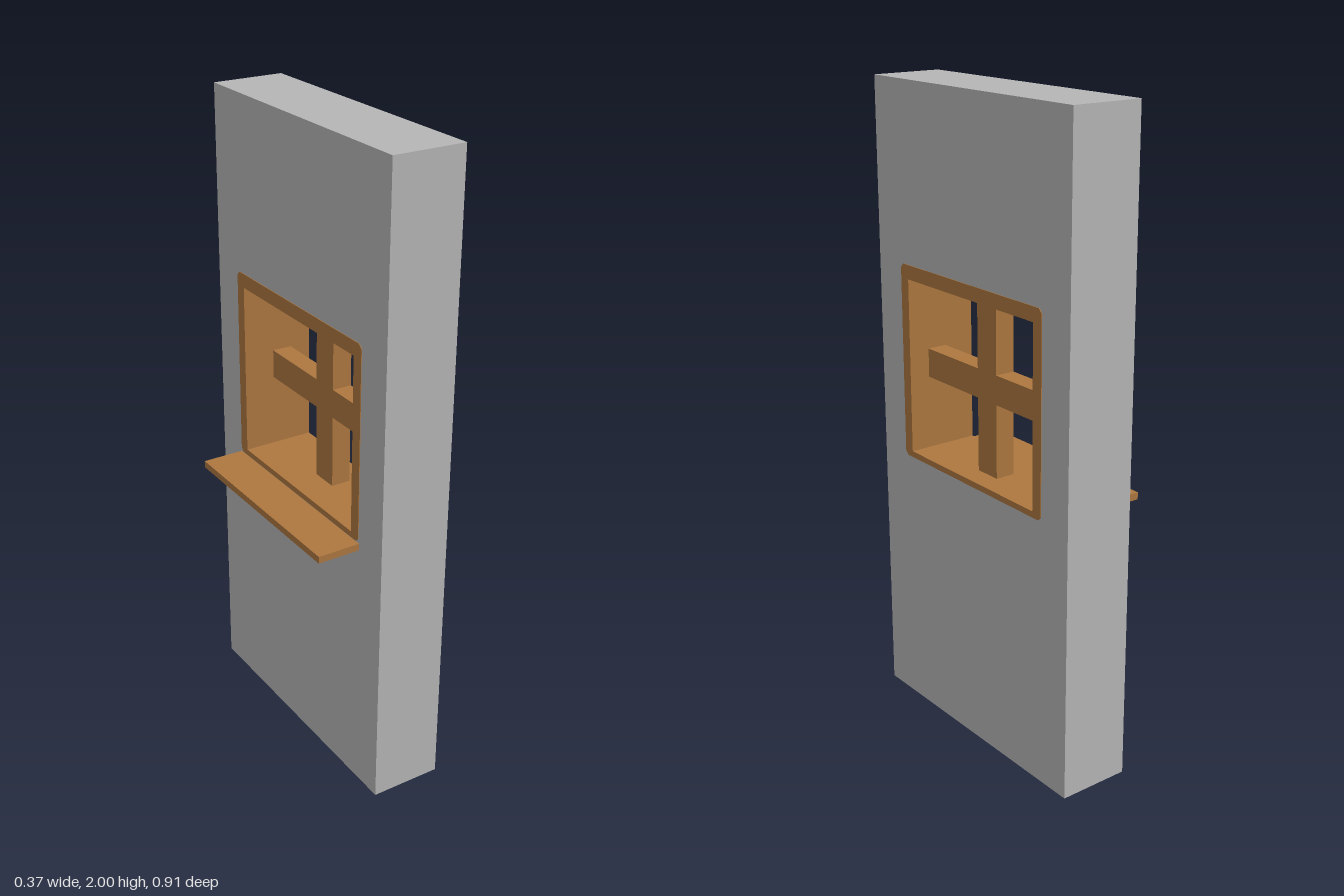
import * as THREE from 'three';

const wallGrey = new THREE.MeshStandardMaterial({ name: 'wallGrey', color: 0xb6b6b6 });
const woodBrown = new THREE.MeshStandardMaterial({ name: 'woodBrown', color: 0xae7840 });

// Rectangle outline with optional chamfered corners, c = corner size
function outline(Target, w, y0, y1, c = 0) {
  const p = c
    ? [[-w + c, y0], [w - c, y0], [w, y0 + c], [w, y1 - c], [w - c, y1], [-w + c, y1], [-w, y1 - c], [-w, y0 + c]]
    : [[-w, y0], [w, y0], [w, y1], [-w, y1]];
  return new Target(p.map(([x, y]) => new THREE.Vector2(x, y)));
}

// Slab with an opening, extruded along x from x0 to x1
function slab(name, material, shape, hole, x0, x1) {
  shape.holes.push(hole);
  const geometry = new THREE.ExtrudeGeometry(shape, { depth: x1 - x0, bevelEnabled: false });
  geometry.rotateY(Math.PI / 2).translate(x0, 0, 0);
  const mesh = new THREE.Mesh(geometry, material);
  mesh.name = name;
  return mesh;
}

// Box given by its limits on each axis
function box(name, material, [x0, x1], [y0, y1], [z0, z1]) {
  const mesh = new THREE.Mesh(new THREE.BoxGeometry(x1 - x0, y1 - y0, z1 - z0), material);
  mesh.position.set((x0 + x1) / 2, (y0 + y1) / 2, (z0 + z1) / 2);
  mesh.name = name;
  return mesh;
}

export function createModel() {
  const group = new THREE.Group();
  group.name = 'windowWall';
  const back = -0.046, front = 0.181, lip = 0.002;
  const frame = [0.337, 0.845, 1.458, 0.012];

  // Wall panel with the window opening
  group.add(slab('wall', wallGrey, outline(THREE.Shape, 0.454, 0, 2),
    outline(THREE.Path, ...frame), back, front));

  // Wooden lining, standing slightly proud on both faces
  group.add(slab('windowFrame', woodBrown, outline(THREE.Shape, ...frame),
    outline(THREE.Path, 0.3, 0.864, 1.414), back - lip, front + lip));

  // Crossed glazing bars
  const barX = [0.052, 0.115];
  group.add(box('verticalBar', woodBrown, barX, [0.864, 1.414], [-0.045, 0.045]));
  for (const s of [-1, 1]) {
    const z = [0.045 * s, 0.3 * s].sort((a, b) => a - b);
    group.add(box('horizontalBar', woodBrown, barX, [1.095, 1.186], z));
  }

  // Sill shelf on one side
  group.add(box('windowSill', woodBrown, [-0.182, back], [0.82, 0.842], [-0.34, 0.34]));

  // Small plug in the underside
  const plug = new THREE.Mesh(new THREE.CylinderGeometry(0.028, 0.028, 0.004, 8), woodBrown);
  plug.position.set(0.08, 0.001, 0);
  plug.name = 'basePlug';
  group.add(plug);

  return group;
}
